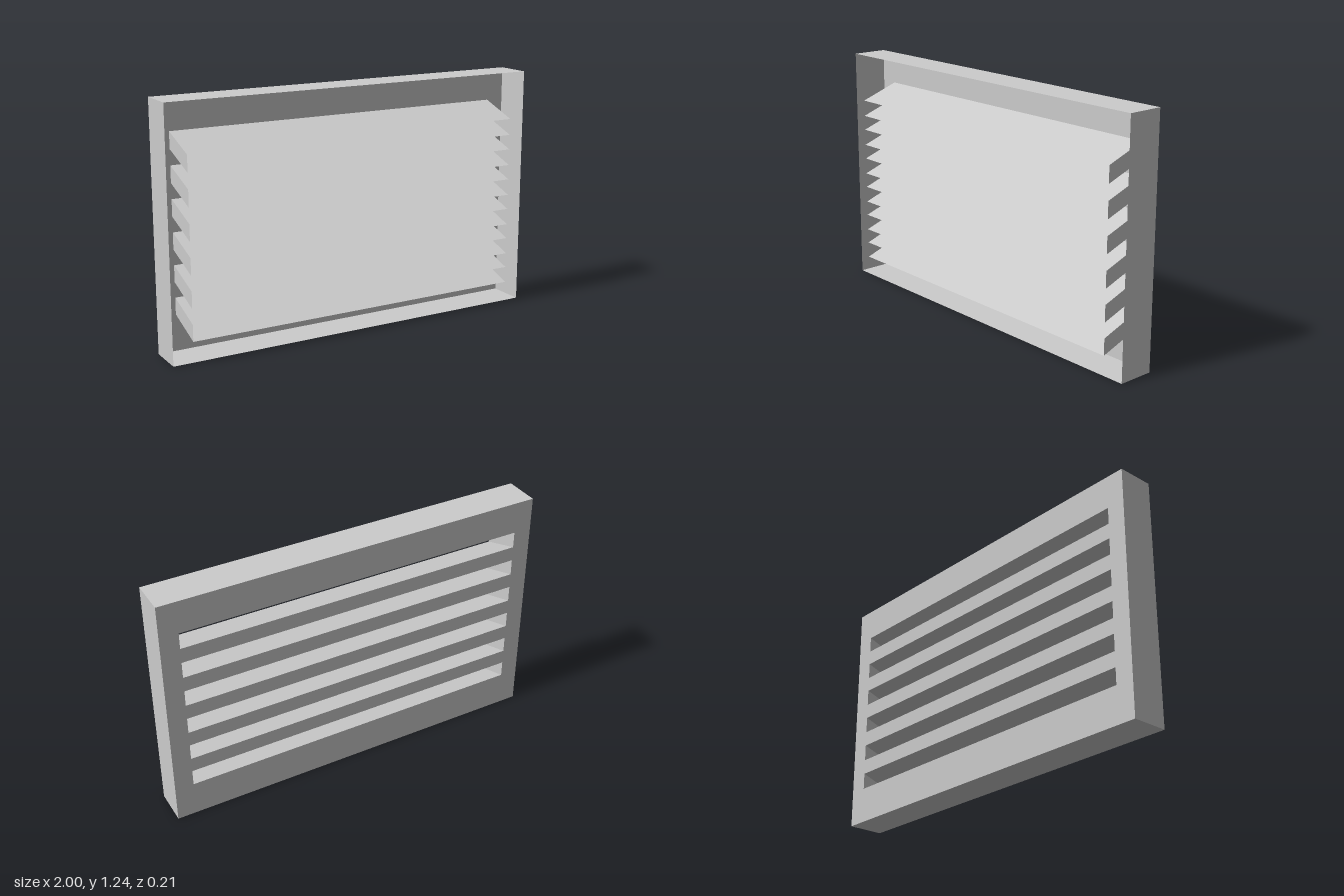
import * as THREE from 'three';

const W = 2, H = 1.24, BACK = -0.103, RIM = 0.083, LIP = 0.103;
const COUNT = 6, PITCH = 0.161, DUCT_W = 1.81, DUCT_H = 0.084, FIRST_Y = 0.111, RISE = 0.073;

const material = new THREE.MeshStandardMaterial({
  color: 0xcccccc, side: THREE.DoubleSide, flatShading: true,
});

// Corners of a rectangle centred on x, counter-clockwise from the front
const rect = (w, y, h) => [[-w / 2, y], [w / 2, y], [w / 2, y + h], [-w / 2, y + h]];

// Open-ended sheet-metal sleeve joining a back rectangle to a front one
function sleeve(name, w, h, yBack, zBack, yFront, zFront) {
  const back = rect(w, yBack, h), front = rect(w, yFront, h);
  const pos = [];
  for (let i = 0; i < 4; i++) {
    const j = (i + 1) % 4;
    const a = [...back[i], zBack], b = [...back[j], zBack];
    const c = [...front[j], zFront], d = [...front[i], zFront];
    pos.push(...a, ...b, ...c, ...a, ...c, ...d);
  }
  const geo = new THREE.BufferGeometry();
  geo.setAttribute('position', new THREE.Float32BufferAttribute(pos, 3));
  geo.computeVertexNormals();
  const mesh = new THREE.Mesh(geo, material);
  mesh.name = name;
  return mesh;
}

export function createModel() {
  const group = new THREE.Group();
  group.name = 'louveredVent';

  // Shallow tray walls
  group.add(sleeve('frameWalls', W, H, 0, BACK, 0, RIM));

  // Back panel, with a slot cut for every duct
  const toPoints = (r) => r.map(([x, y]) => new THREE.Vector2(x, y));
  const panel = new THREE.Shape(toPoints(rect(W, 0, H)));

  // Open louver ducts sloping down toward the front
  for (let i = 0; i < COUNT; i++) {
    const y = FIRST_Y + i * PITCH;
    panel.holes.push(new THREE.Path(toPoints(rect(DUCT_W, y + RISE, DUCT_H))));
    group.add(sleeve(`louver${i + 1}`, DUCT_W, DUCT_H, y + RISE, BACK, y, LIP));
  }

  const backPanel = new THREE.Mesh(new THREE.ShapeGeometry(panel), material);
  backPanel.name = 'backPanel';
  backPanel.position.z = BACK;
  group.add(backPanel);

  return group;
}
